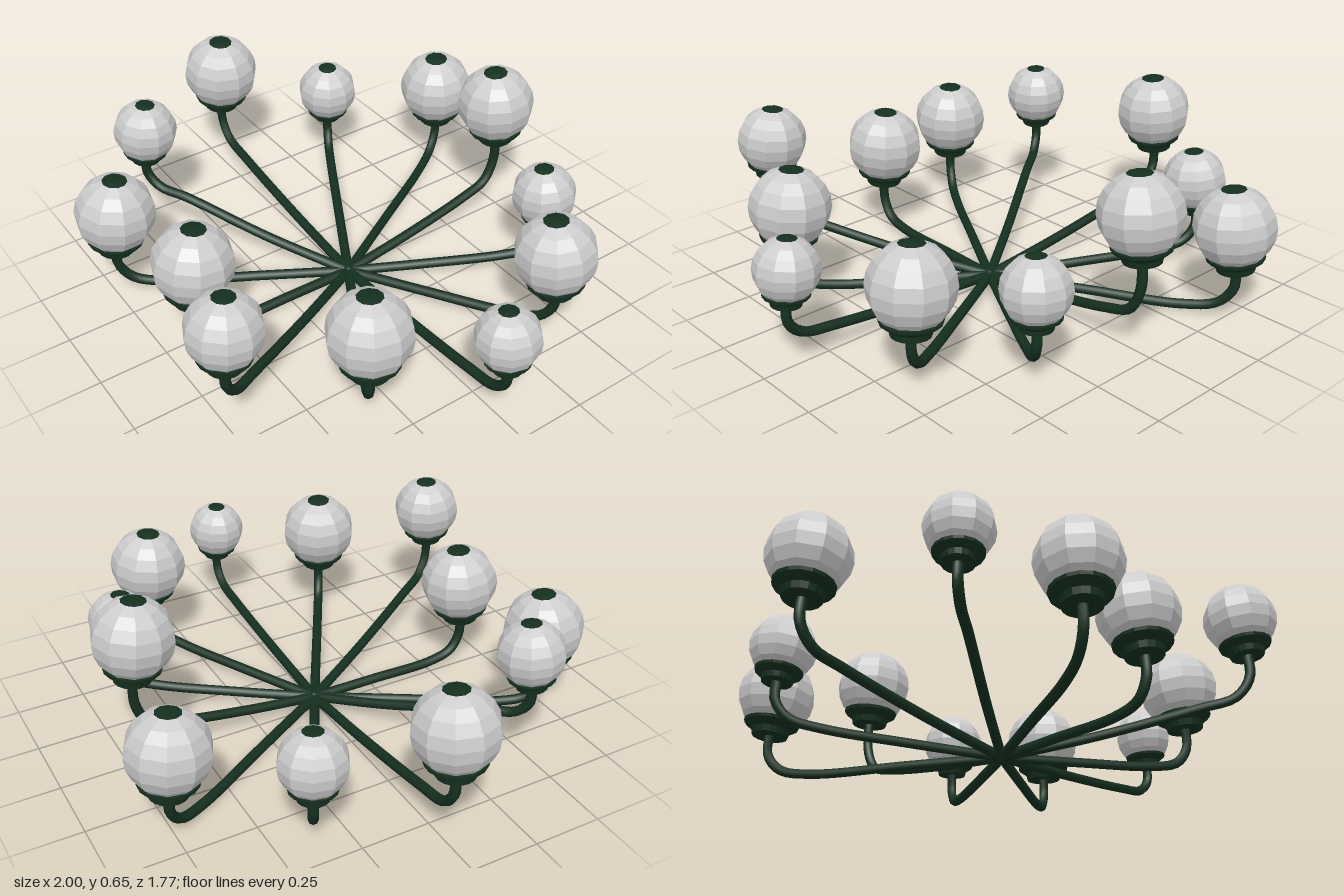
import * as THREE from 'three';

const glass = new THREE.MeshStandardMaterial({ color: 0xcccccc, flatShading: true });
const metal = new THREE.MeshStandardMaterial({ color: 0x14301f });
const metalFlat = new THREE.MeshStandardMaterial({ color: 0x14301f, flatShading: true });

const HUB = new THREE.Vector3(0.03, 0.026, 0);
const TILT = 0.1; // globes lean slightly towards the hub

// x, z, radius, top height, height of the arm just before its upward bend
const LAMPS = [
  [-0.41, -0.75, 0.144, 0.49, 0.022],
  [0.013, -0.69, 0.144, 0.65, 0.12],
  [0.39, -0.61, 0.117, 0.46, 0.065],
  [0.69, -0.38, 0.144, 0.52, 0.06],
  [0.885, 0, 0.11, 0.464, 0.09],
  [0.64, 0.35, 0.144, 0.52, 0.055],
  [0.45, 0.75, 0.128, 0.587, 0.14],
  [0.02, 0.625, 0.144, 0.505, 0.03],
  [-0.39, 0.71, 0.144, 0.495, 0.022],
  [-0.64, 0.45, 0.117, 0.58, 0.19],
  [-0.86, 0, 0.144, 0.6, 0.12],
  [-0.66, -0.38, 0.117, 0.45, 0.055],
];

function part(name, geometry, material) {
  const mesh = new THREE.Mesh(geometry, material);
  mesh.name = name;
  return mesh;
}

// Globe with dark top cap and flared collar, made at unit radius
function makeLamp() {
  const lamp = new THREE.Group();
  lamp.name = 'lamp';
  const capAngle = Math.PI * 0.1;
  lamp.add(part('globe', new THREE.SphereGeometry(1, 10, 9, 0, Math.PI * 2, capAngle, Math.PI - capAngle), glass));
  lamp.add(part('topCap', new THREE.SphereGeometry(1, 10, 1, 0, Math.PI * 2, 0, capAngle), metalFlat));
  const collar = [[0, -1.12], [0.46, -1.12], [0.5, -0.96], [0.7, -0.82], [0.72, -0.74], [0.62, -0.74]]
    .map(([r, y]) => new THREE.Vector2(r, y));
  lamp.add(part('collar', new THREE.LatheGeometry(collar, 16), metalFlat));
  return lamp;
}

// Arm running low from the hub, then bending up into the collar
function makeArm(end, bendY) {
  const rise = end.y - bendY;
  const points = [
    [0, HUB.y],
    [0.4, HUB.y + (bendY - HUB.y) * 0.42],
    [0.8, bendY],
    [0.94, bendY + rise * 0.16],
    [1, bendY + rise * 0.55],
    [1, end.y + 0.01],
  ].map(([t, y]) => new THREE.Vector3(
    THREE.MathUtils.lerp(HUB.x, end.x, t), y, THREE.MathUtils.lerp(HUB.z, end.z, t)));
  const curve = new THREE.CatmullRomCurve3(points, false, 'centripetal');
  return part('arm', new THREE.TubeGeometry(curve, 40, 0.018, 8, false), metal);
}

export function createModel() {
  const model = new THREE.Group();
  model.name = 'chandelier';
  for (const [x, z, r, top, bendY] of LAMPS) {
    const lamp = makeLamp();
    lamp.position.set(x, top - r, z);
    lamp.scale.setScalar(r);
    // local +x points away from the hub
    lamp.rotation.set(0, -Math.atan2(z - HUB.z, x - HUB.x), TILT, 'YXZ');
    lamp.updateMatrix();
    const end = new THREE.Vector3(0, -1.12, 0).applyMatrix4(lamp.matrix);
    model.add(lamp, makeArm(end, bendY));
  }
  // Small joint where the arms meet
  const hub = part('hub', new THREE.SphereGeometry(0.024, 10, 8), metal);
  hub.position.copy(HUB);
  model.add(hub);
  return model;
}
